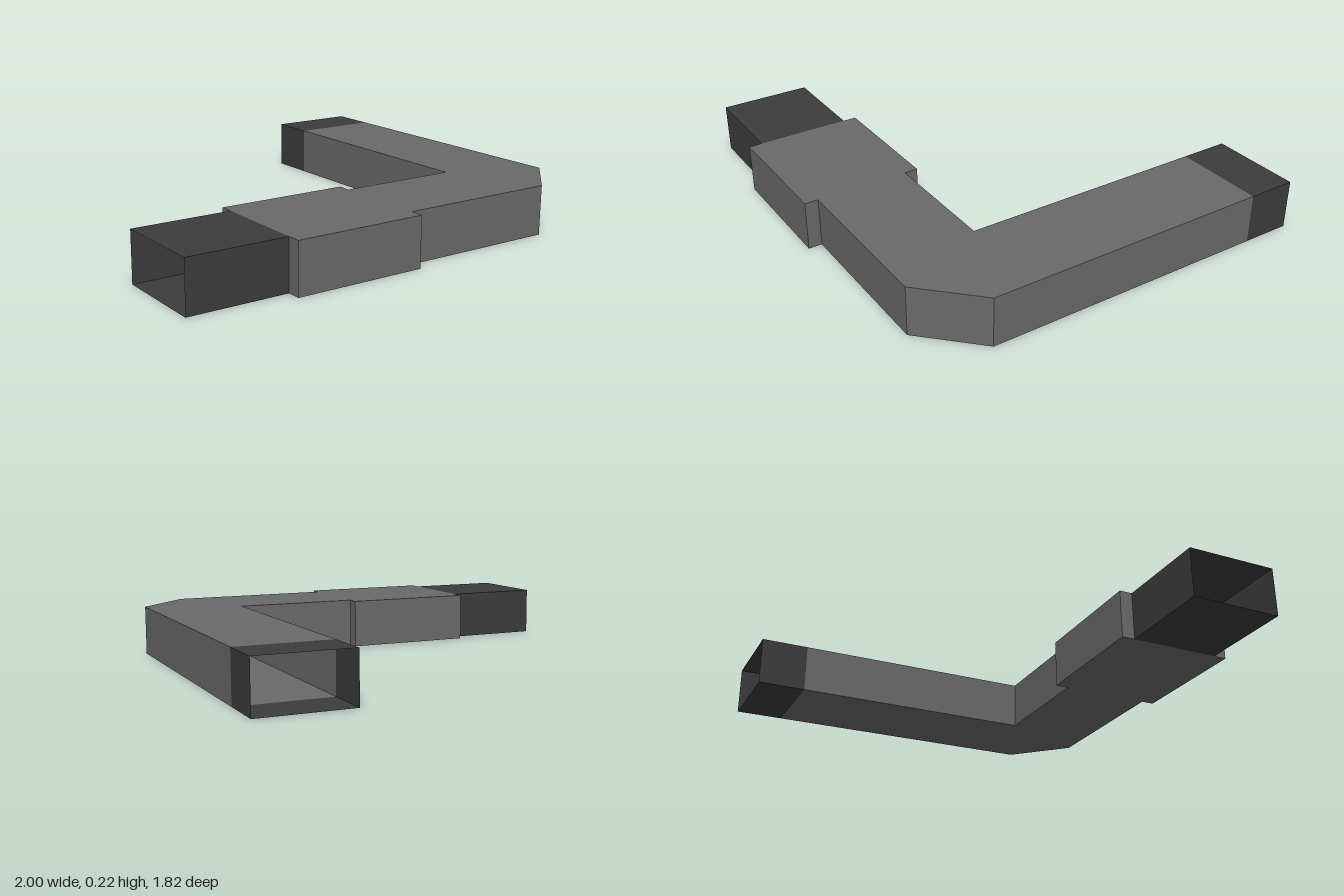
import * as THREE from 'three';

const HEIGHT = 0.222;

// Hollow duct section: floor, ceiling and walls along a plan outline of [x, z]
// corners, counter-clockwise from above. Edges listed in openEdges get no wall.
function ductSection(outline, openEdges) {
  const positions = [];
  const add = (i, y) => positions.push(outline[i][0], y, outline[i][1]);
  const plan = outline.map(([x, z]) => new THREE.Vector2(x, -z));
  for (const [a, b, c] of THREE.ShapeUtils.triangulateShape(plan, [])) {
    for (const i of [a, b, c]) add(i, HEIGHT);
    for (const i of [c, b, a]) add(i, 0);
  }
  outline.forEach((_, p) => {
    if (openEdges.includes(p)) return;
    const q = (p + 1) % outline.length;
    add(p, 0); add(q, 0); add(q, HEIGHT);
    add(p, 0); add(q, HEIGHT); add(p, HEIGHT);
  });
  const geometry = new THREE.BufferGeometry();
  geometry.setAttribute('position', new THREE.Float32BufferAttribute(positions, 3));
  geometry.computeVertexNormals();
  return geometry;
}

export function createModel() {
  const group = new THREE.Group();
  const grey = new THREE.MeshStandardMaterial({ color: 0x696969, side: THREE.DoubleSide });
  grey.name = 'mid grey';
  const dark = new THREE.MeshStandardMaterial({ color: 0x3c3c3c, side: THREE.DoubleSide });
  dark.name = 'dark grey';

  const part = (name, material, outline, openEdges) => {
    const mesh = new THREE.Mesh(ductSection(outline, openEdges), material);
    mesh.name = name;
    group.add(mesh);
  };

  // Elbow with a bevelled outer corner, open at both ends
  part('elbowDuct', grey, [
    [0.03, 0.43], [0.03, 0.845], [0.765, 0.845], [1, 0.61],
    [1, -0.69], [0.585, -0.69], [0.585, 0.43],
  ], [0, 4]);

  // Wider sleeve, with small shoulders beside the duct openings
  part('sleeve', grey, [
    [-0.56, 0.37], [-0.56, 0.43], [-0.56, 0.845], [-0.56, 0.905],
    [0.03, 0.905], [0.03, 0.845], [0.03, 0.43], [0.03, 0.37],
  ], [1, 5]);

  // Dark open-ended connectors
  part('sideConnector', dark, [
    [-1, 0.43], [-1, 0.845], [-0.56, 0.845], [-0.56, 0.43],
  ], [0, 2]);
  part('backConnector', dark, [
    [0.585, -0.91], [0.585, -0.69], [1, -0.69], [1, -0.91],
  ], [1, 3]);

  return group;
}
